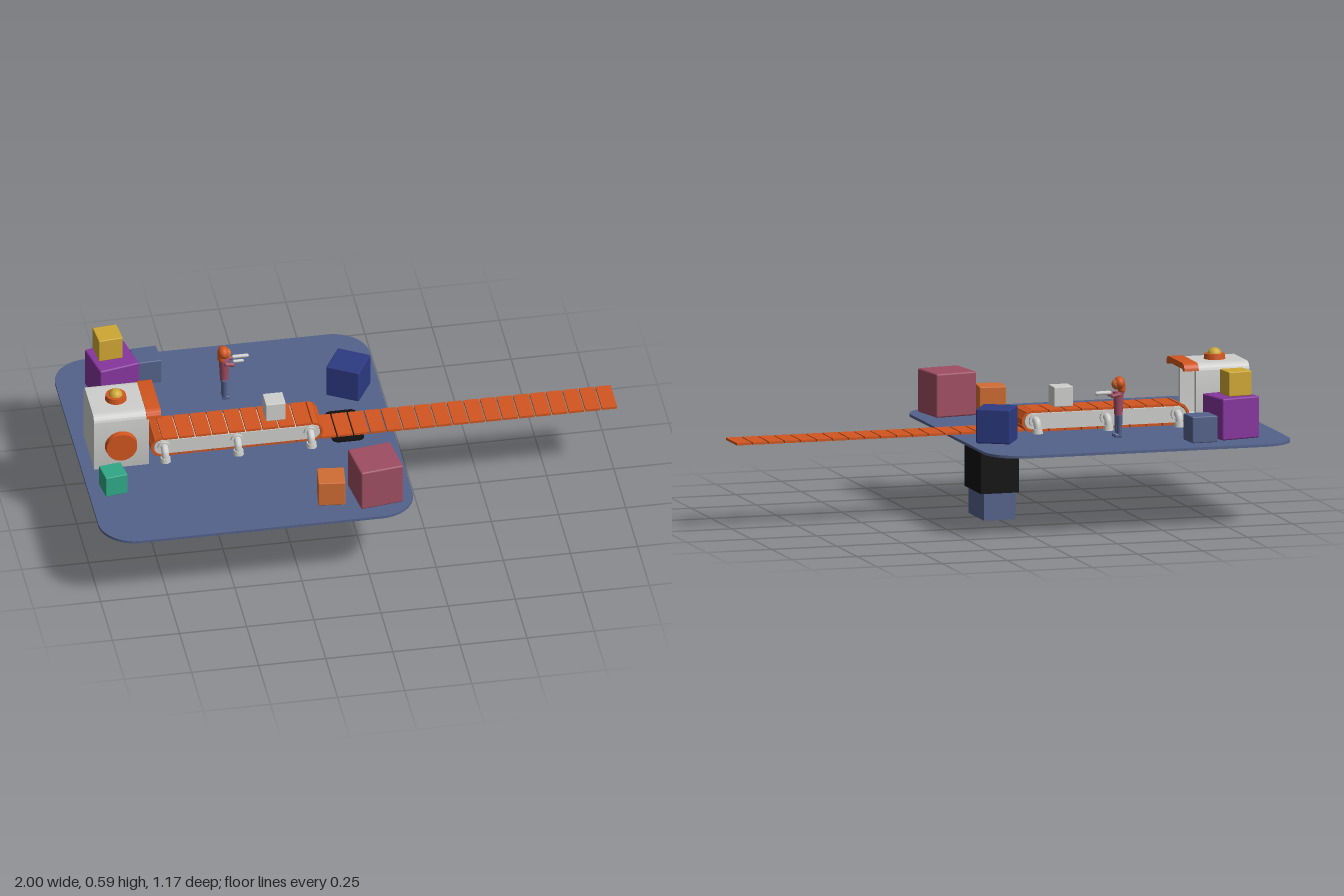
import * as THREE from 'three';
import { RoundedBoxGeometry } from 'three/addons/geometries/RoundedBoxGeometry.js';
import { toCreasedNormals } from 'three/addons/utils/BufferGeometryUtils.js';

const mat = (name, color) => new THREE.MeshStandardMaterial({ name, color });

// Rounded rectangle outline, with separate top and bottom corner radii
function roundRect(Type, x0, y0, x1, y1, rt, rb = rt) {
  const s = new Type();
  s.moveTo(x0 + rb, y0);
  s.lineTo(x1 - rb, y0);
  s.absarc(x1 - rb, y0 + rb, rb, -Math.PI / 2, 0);
  s.lineTo(x1, y1 - rt);
  s.absarc(x1 - rt, y1 - rt, rt, 0, Math.PI / 2);
  s.lineTo(x0 + rt, y1);
  s.absarc(x0 + rt, y1 - rt, rt, Math.PI / 2, Math.PI);
  s.lineTo(x0, y0 + rb);
  s.absarc(x0 + rb, y0 + rb, rb, Math.PI, Math.PI * 1.5);
  return s;
}

const extrude = (shape, depth) => toCreasedNormals(
  new THREE.ExtrudeGeometry(shape, { depth, bevelEnabled: false, curveSegments: 10 }), 0.6);

export function createModel() {
  const M = {
    slate: mat('slate blue', 0x55638c),
    black: mat('black', 0x101010),
    orange: mat('belt orange', 0xd2561f),
    white: mat('light grey', 0xcfcfcd),
    yellow: mat('yellow', 0xcfa833),
    green: mat('green', 0x30a886),
    purple: mat('purple', 0x86369c),
    navy: mat('navy', 0x2c3a82),
    maroon: mat('maroon', 0x9e4e62),
    copper: mat('copper orange', 0xd06d33),
  };
  const root = new THREE.Group();
  root.name = 'conveyorPlatform';
  function add(name, geo, material, x = 0, y = 0, z = 0, parent = root) {
    const m = new THREE.Mesh(geo, material);
    m.name = name;
    m.position.set(x, y, z);
    parent.add(m);
    return m;
  }
  const alongX = (name, shape, depth, material, x) => {
    add(name, extrude(shape, depth), material, x).rotation.y = Math.PI / 2;
  };

  // Platform and its pillar
  const deck = roundRect(THREE.Shape, -0.585, -0.585, 0.585, 0.585, 0.135);
  add('platform', extrude(deck, 0.01), M.slate, -0.415, 0.315, 0).rotation.x = Math.PI / 2;
  add('pillar', new THREE.BoxGeometry(0.12, 0.306, 0.194), M.slate, 0, 0.153, 0);
  add('pillarSleeve', new THREE.BoxGeometry(0.146, 0.165, 0.206), M.black, 0, 0.1825, 0);
  const pad = roundRect(THREE.Shape, -0.06, -0.097, 0.06, 0.097, 0.025);
  add('pillarCap', extrude(pad, 0.008), M.black, -0.003, 0.32, 0).rotation.x = Math.PI / 2;

  // Machine housing with an opening toward the belt
  const housing = roundRect(THREE.Shape, -0.11, 0.285, 0.11, 0.545, 0.03, 0.008);
  alongX('housingBack', housing, 0.055, M.white, -0.955);
  const frame = roundRect(THREE.Shape, -0.11, 0.285, 0.11, 0.545, 0.03, 0.008);
  frame.holes.push(roundRect(THREE.Path, -0.09, 0.32, 0.09, 0.525, 0.018));
  alongX('housingFrame', frame, 0.15, M.white, -0.9);

  // Orange arched visor over the opening
  const visor = new THREE.Shape();
  visor.moveTo(0.112, 0.518);
  visor.absarc(0.084, 0.52, 0.028, 0, Math.PI / 2);
  visor.absarc(-0.084, 0.52, 0.028, Math.PI / 2, Math.PI);
  visor.lineTo(-0.112, 0.518);
  visor.lineTo(-0.094, 0.518);
  visor.lineTo(-0.086, 0.526);
  visor.lineTo(0.086, 0.526);
  visor.lineTo(0.094, 0.518);
  alongX('visor', visor, 0.055, M.orange, -0.76);

  // Side disc and roof button
  add('sideDisc', new THREE.CylinderGeometry(0.057, 0.06, 0.022, 32), M.orange, -0.855, 0.415, 0.12).rotation.x = Math.PI / 2;
  add('buttonBase', new THREE.CylinderGeometry(0.037, 0.04, 0.02, 32), M.orange, -0.855, 0.555, 0);
  add('buttonDome', new THREE.SphereGeometry(0.026, 24, 10, 0, Math.PI * 2, 0, Math.PI / 2), M.yellow, -0.855, 0.56, 0);

  // Conveyor bed: stadium-shaped core
  const x0 = -0.695, x1 = -0.135, cy = 0.355;
  add('conveyorBed', extrude(roundRect(THREE.Shape, x0 - 0.029, cy - 0.029, x1 + 0.029, cy + 0.029, 0.0289), 0.14),
    M.white, 0, 0, -0.07);

  // Belt slats: top and bottom runs, curved ends, then the long outfeed
  const slat = (name, len, x, y, rot = 0) => {
    add(name, new THREE.BoxGeometry(len, 0.009, 0.138), M.orange, x, y, 0).rotation.z = rot;
  };
  const n = 9, pitch = (x1 - x0) / n;
  for (let i = 0; i < n; i++) {
    const x = x0 + (i + 0.5) * pitch;
    slat('beltSlatTop', pitch - 0.005, x, cy + 0.0355);
    slat('beltSlatBottom', pitch - 0.005, x, cy - 0.0345);
  }
  for (const [x, dir] of [[x0, -1], [x1, 1]])
    for (let k = -2; k <= 2; k++) {
      const a = k * Math.PI / 5;
      slat('beltSlatEnd', 0.023, x + dir * 0.0355 * Math.cos(a), cy + 0.0355 * Math.sin(a), dir * a + Math.PI / 2);
    }
  for (let i = 0; i < 18; i++) slat('outfeedSlat', 0.056, 0.972 - i * 0.0615, 0.324);

  // Pipe legs on both sides of the conveyor
  for (const x of [-0.688, -0.416, -0.144])
    for (const s of [-1, 1]) {
      const leg = new THREE.Group();
      leg.name = 'pipeLeg';
      leg.position.set(x, 0, 0);
      root.add(leg);
      const path = new THREE.CatmullRomCurve3([[0.362, 0.06], [0.362, 0.08], [0.355, 0.096], [0.338, 0.102], [0.29, 0.102]]
        .map(([y, z]) => new THREE.Vector3(0, y, s * z)));
      add('pipe', new THREE.TubeGeometry(path, 16, 0.014, 12), M.white, 0, 0, 0, leg);
      add('pipeEnd', new THREE.CylinderGeometry(0.014, 0.014, 0.004, 12), M.white, 0, 0.29, s * 0.102, leg);
      add('footFlange', new THREE.CylinderGeometry(0.018, 0.02, 0.018, 16), M.white, 0, 0.324, s * 0.102, leg);
      add('wallFlange', new THREE.CylinderGeometry(0.024, 0.024, 0.01, 16), M.white, 0, 0.358, s * 0.075, leg).rotation.x = Math.PI / 2;
    }

  // Crates: name, colour, size, x, base y, z, turn in degrees
  const crates = [
    ['maroonCrate', M.maroon, 0.163, 0.035, 0.315, 0.44, 8],
    ['copperCrate', M.copper, 0.1, -0.13, 0.315, 0.436, -7],
    ['greenCrate', M.green, 0.084, -0.907, 0.315, 0.242, 8],
    ['purpleCrate', M.purple, 0.155, -0.803, 0.315, -0.372, 12],
    ['yellowCrate', M.yellow, 0.091, -0.816, 0.473, -0.39, 5],
    ['slateCrate', M.slate, 0.098, -0.665, 0.315, -0.44, 3],
    ['navyCrate', M.navy, 0.128, 0.052, 0.315, -0.23, -30],
    ['beltCrate', M.white, 0.074, -0.265, 0.399, 0, 0],
  ];
  for (const [name, m, s, x, y, z, deg] of crates)
    add(name, new RoundedBoxGeometry(s, s, s, 2, s * 0.04), m, x, y + s / 2, z).rotation.y = deg * Math.PI / 180;

  // Standing figure facing the outfeed direction, arms held forward
  const figure = new THREE.Group();
  figure.name = 'figure';
  figure.position.set(-0.405, 0.315, -0.262);
  root.add(figure);
  for (const s of [-1, 1]) {
    add('leg', new THREE.CylinderGeometry(0.011, 0.009, 0.075, 10), M.slate, 0, 0.045, s * 0.013, figure);
    add('shoe', new RoundedBoxGeometry(0.03, 0.014, 0.016, 2, 0.005), M.slate, 0.005, 0.007, s * 0.013, figure);
    add('sleeve', new THREE.CapsuleGeometry(0.008, 0.025, 4, 10), M.maroon, 0.016, 0.158, s * 0.022, figure).rotation.z = 1.4;
  }
  add('torso', new THREE.CylinderGeometry(0.02, 0.015, 0.09, 14), M.maroon, 0, 0.123, 0, figure);
  add('forearm', new THREE.CapsuleGeometry(0.007, 0.05, 4, 10), M.white, 0.062, 0.167, -0.012, figure).rotation.z = Math.PI / 2;
  add('otherForearm', new THREE.CapsuleGeometry(0.006, 0.03, 4, 10), M.white, 0.05, 0.165, 0.014, figure).rotation.z = Math.PI / 2;
  add('head', new THREE.SphereGeometry(0.02, 16, 12), M.copper, 0.006, 0.196, 0, figure);
  add('hair', new THREE.SphereGeometry(0.026, 16, 12), M.orange, -0.003, 0.2, 0, figure).scale.set(0.8, 0.95, 1.05);
  add('hairBack', new THREE.CapsuleGeometry(0.013, 0.02, 4, 12), M.orange, -0.012, 0.184, 0, figure).scale.z = 1.5;

  return root;
}
